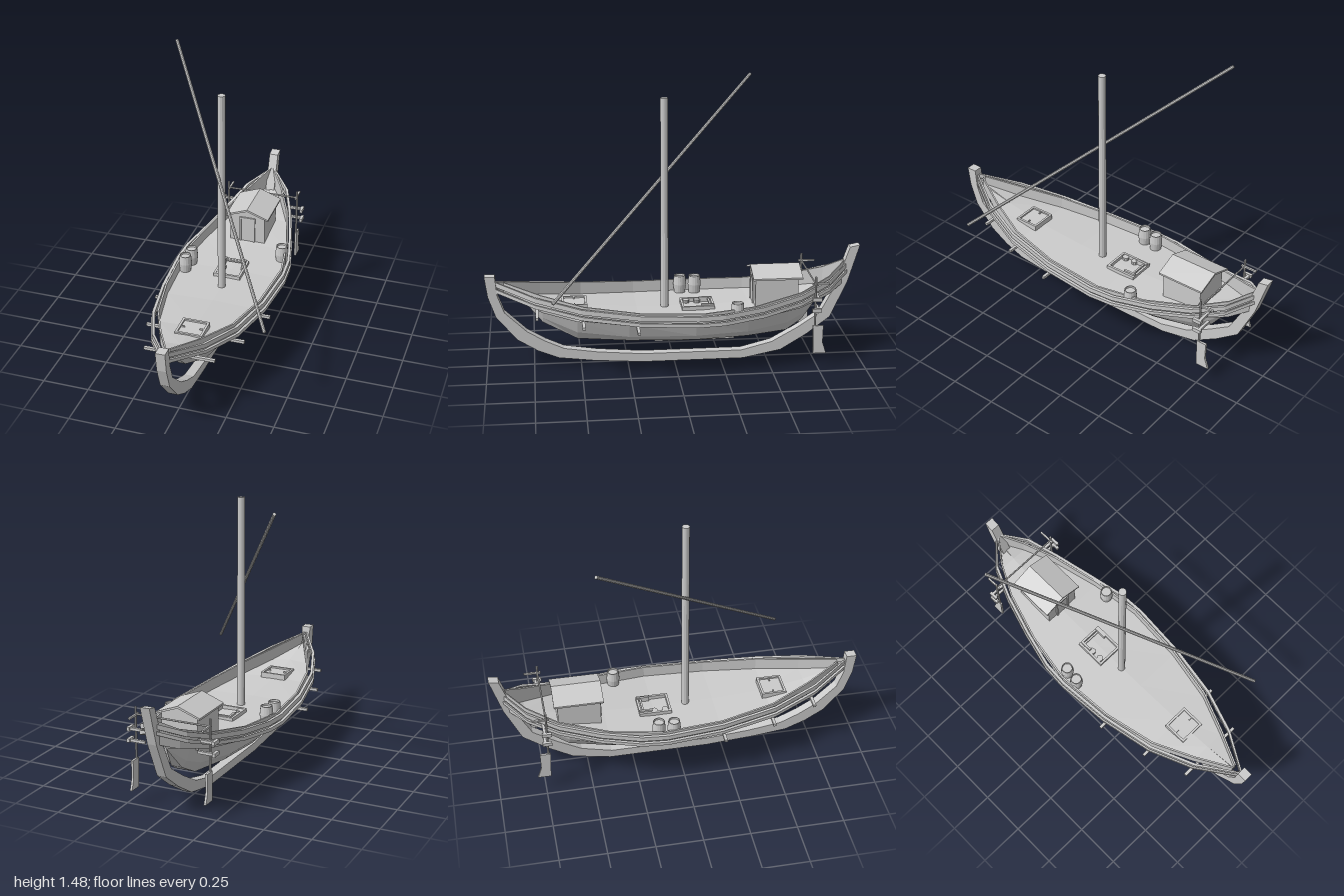
import * as THREE from 'three';

const mat = new THREE.MeshStandardMaterial({ color: 0xcccccc, flatShading: true, side: THREE.DoubleSide });

function add(parent, name, geo, x = 0, y = 0, z = 0) {
  const m = new THREE.Mesh(geo, mat);
  m.name = name;
  m.position.set(x, y, z);
  parent.add(m);
  return m;
}
const box = (p, name, w, h, d, x, y, z) => add(p, name, new THREE.BoxGeometry(w, h, d), x, y, z);

// Skin a list of equal-length cross-sections; closed sections get end caps
function loft(sections, closed = false) {
  const n = sections[0].length, pos = sections.flat(2), idx = [];
  for (let i = 0; i < sections.length - 1; i++) {
    for (let j = 0; j < (closed ? n : n - 1); j++) {
      const k = (j + 1) % n, a = i * n + j, b = i * n + k, c = a + n, d = b + n;
      idx.push(a, b, c, b, d, c);
    }
  }
  if (closed) {
    const e = (sections.length - 1) * n;
    for (let j = 1; j < n - 1; j++) idx.push(0, j + 1, j, e, e + j, e + j + 1);
  }
  const g = new THREE.BufferGeometry();
  g.setAttribute('position', new THREE.Float32BufferAttribute(pos, 3));
  g.setIndex(idx);
  g.computeVertexNormals();
  return g;
}

// Round pole between two points
function pole(parent, name, a, b, r0, r1, sides = 8) {
  const A = new THREE.Vector3(...a), B = new THREE.Vector3(...b), d = B.clone().sub(A);
  const m = add(parent, name, new THREE.CylinderGeometry(r1, r0, d.length(), sides));
  m.position.copy(A).add(B).multiplyScalar(0.5);
  m.quaternion.setFromUnitVectors(new THREE.Vector3(0, 1, 0), d.normalize());
  return m;
}

// Deck outline: z, half width, deck height, bulwark top
const DECK = [
  [0.9, 0.004, 0.42, 0.475], [0.71, 0.1, 0.365, 0.43], [0.49, 0.195, 0.325, 0.392],
  [0.2, 0.255, 0.305, 0.367], [-0.13, 0.278, 0.3, 0.362], [-0.4, 0.235, 0.315, 0.375],
  [-0.66, 0.16, 0.345, 0.418], [-0.82, 0.08, 0.385, 0.475], [-0.92, 0.004, 0.43, 0.54],
];
// Outer rail outline: z, half width, sheer height
const RAIL = [
  [0.945, 0.01, 0.485], [0.74, 0.14, 0.435], [0.5, 0.23, 0.393], [0.2, 0.285, 0.367], [-0.1, 0.308, 0.36],
  [-0.24, 0.3, 0.364], [-0.45, 0.25, 0.38], [-0.66, 0.19, 0.418], [-0.82, 0.127, 0.475], [-0.94, 0.01, 0.54],
];
// Lower hull: z, then half width and height of sheer edge, bilge and floor
const HULL = [
  [0.765, 0.004, 0.335, 0.003, 0.33, 0.002, 0.325], [0.7, 0.05, 0.315, 0.035, 0.28, 0.02, 0.25],
  [0.52, 0.13, 0.287, 0.1, 0.215, 0.06, 0.166], [0.25, 0.185, 0.277, 0.155, 0.2, 0.115, 0.165],
  [-0.1, 0.2, 0.28, 0.175, 0.2, 0.14, 0.165], [-0.38, 0.18, 0.292, 0.15, 0.205, 0.11, 0.165],
  [-0.6, 0.12, 0.315, 0.09, 0.225, 0.055, 0.17], [-0.69, 0.075, 0.33, 0.055, 0.26, 0.03, 0.22],
  [-0.785, 0.004, 0.35, 0.003, 0.345, 0.002, 0.34],
];
// Keel and stem posts: outer z, y, inner z, y
const KEEL = [
  [1, 0.51, 0.945, 0.51], [0.985, 0.4, 0.935, 0.405], [0.945, 0.285, 0.9, 0.31], [0.835, 0.155, 0.785, 0.2],
  [0.73, 0.09, 0.69, 0.143], [0.62, 0.045, 0.59, 0.097], [0.43, 0.022, 0.41, 0.07], [0.17, 0.004, 0.17, 0.05],
  [-0.375, 0.004, -0.365, 0.05], [-0.58, 0.045, -0.53, 0.092], [-0.72, 0.13, -0.67, 0.17],
  [-0.845, 0.225, -0.79, 0.25], [-0.935, 0.42, -0.87, 0.4], [-0.998, 0.625, -0.945, 0.615],
];

function deckAt(z) {
  let i = 0;
  while (i < DECK.length - 2 && DECK[i + 1][0] > z) i++;
  const [a, b] = [DECK[i], DECK[i + 1]];
  return THREE.MathUtils.lerp(a[2], b[2], (a[0] - z) / (a[0] - b[0]));
}

// Raised rectangular hatch frame with a closed lid inside
function hatch(parent, name, w, d, z) {
  const g = new THREE.Group(), y = deckAt(z) + 0.012, t = 0.012;
  g.name = name;
  for (const s of [-1, 1]) {
    box(g, 'coamingSide', t, 0.03, d, s * (w - t) / 2, y, z);
    box(g, 'coamingEnd', w, 0.03, t, 0, y, z + s * (d - t) / 2);
  }
  parent.add(g);
  return g;
}

export function createModel() {
  const boat = new THREE.Group();
  boat.name = 'sailingBoat';

  add(boat, 'keel', loft(KEEL.map(([oz, oy, iz, iy]) =>
    [[-0.025, oy, oz], [0.025, oy, oz], [0.025, iy, iz], [-0.025, iy, iz]]), true));
  add(boat, 'lowerHull', loft(HULL.map(([z, a, ya, b, yb, c, yc]) =>
    [[-a, ya, z], [-b, yb, z], [-c, yc, z], [c, yc, z], [b, yb, z], [a, ya, z]])));
  add(boat, 'deck', loft(DECK.map(([z, x, y]) => [[-x, y, z], [0, y + 0.008, z], [x, y, z]])));

  // Bulwarks, wales and bilge strips on both sides
  for (const s of [-1, 1]) {
    add(boat, 'bulwark', loft(DECK.map(([z, x, y, t]) =>
      [[s * x, y - 0.012, z], [s * (x + 0.008), y - 0.012, z], [s * (x + 0.01), t, z], [s * x, t, z]]), true));
    for (const [name, lo, hi, out] of [['upperWale', -0.034, -0.008, 0], ['lowerWale', -0.064, -0.045, 0.006]]) {
      add(boat, name, loft(RAIL.map(([z, x, y]) => {
        const o = x + out, i = Math.max(o - 0.016, 0);
        return [[s * i, y + lo, z], [s * o, y + lo, z], [s * o, y + hi, z], [s * i, y + hi, z]];
      }), true));
    }
    const strip = add(boat, 'bilgeStrip', new THREE.PlaneGeometry(0.43, 0.036), s * 0.05, 0.148, -0.105);
    strip.rotation.y = s * Math.PI / 2;
  }

  // Through beams under the deck
  for (const [z, half, y] of [[0.21, 0.32, 0.277], [0.49, 0.265, 0.295], [0.73, 0.187, 0.326]])
    box(boat, 'crossBeam', half * 2, 0.015, 0.016, 0, y, z);

  // Mast and slanted yard
  pole(boat, 'mast', [0, 0.285, 0.05], [0, 1.44, 0.05], 0.021, 0.02, 12);
  pole(boat, 'yard', [-0.415, 1.48, -0.46], [0.415, 0.49, 0.65], 0.009, 0.009);

  // Hatches: covered one forward, open one with a ladder amidships
  const fore = hatch(boat, 'foreHatch', 0.145, 0.135, 0.532);
  box(fore, 'lid', 0.125, 0.012, 0.115, 0, deckAt(0.532) + 0.012, 0.532);
  for (const s of [-1, 1]) box(fore, 'handle', 0.02, 0.008, 0.006, s * 0.05, deckAt(0.532) + 0.022, 0.532);
  const main = hatch(boat, 'mainHatch', 0.15, 0.175, -0.125);
  for (const s of [-1, 1]) box(main, 'ladderRail', 0.012, 0.03, 0.07, s * 0.055, 0.32, -0.175);
  box(main, 'ladderRung', 0.11, 0.008, 0.01, 0, 0.325, -0.19);
  for (const z of [-0.13, -0.07])
    add(main, 'storedJar', new THREE.CylinderGeometry(0.018, 0.018, 0.025, 10), -0.05, 0.312, z);

  // Barrels
  const barrel = [[0, 0], [0.03, 0], [0.036, 0.05], [0.031, 0.098], [0.027, 0.098], [0.026, 0.088], [0, 0.088]]
    .map(p => new THREE.Vector2(...p));
  for (const [x, z] of [[-0.243, -0.057], [-0.235, -0.137], [0.234, -0.31]])
    add(boat, 'barrel', new THREE.LatheGeometry(barrel, 16), x, 0.3, z);

  // Cabin with gable walls, pitched roof and front door
  const cabin = new THREE.Group();
  cabin.name = 'cabin';
  boat.add(cabin);
  const prism = (pts, depth) => new THREE.ExtrudeGeometry(
    new THREE.Shape(pts.map(p => new THREE.Vector2(...p))), { depth, bevelEnabled: false });
  add(cabin, 'walls', prism([[-0.1, 0.31], [0.1, 0.31], [0.1, 0.48], [0, 0.518], [-0.1, 0.48]], 0.23), 0, 0, -0.655);
  add(cabin, 'roof', prism([[-0.122, 0.474], [0, 0.518], [0.122, 0.474], [0.122, 0.484], [0, 0.53], [-0.122, 0.484]], 0.265),
    0, 0, -0.675);
  for (const s of [-1, 1]) box(cabin, 'doorPost', 0.01, 0.15, 0.012, s * 0.04, 0.39, -0.422);
  box(cabin, 'doorLintel', 0.09, 0.012, 0.012, 0, 0.468, -0.422);
  box(cabin, 'doorPanel', 0.07, 0.15, 0.006, 0, 0.39, -0.423);

  // Steering oars with brackets, and the bar joining them
  const blade = [[-0.715, 0.245], [-0.772, 0.245], [-0.77, 0.15], [-0.79, 0.09], [-0.72, 0.09], [-0.722, 0.18]];
  for (const s of [-1, 1]) {
    const oar = new THREE.Group();
    oar.name = 'steeringOar';
    boat.add(oar);
    pole(oar, 'shaft', [s * 0.205, 0.2, -0.727], [s * 0.205, 0.515, -0.727], 0.006, 0.006);
    add(oar, 'blade', loft([-0.006, 0.006].map(t => blade.map(([z, y]) => [s * 0.205 + t, y, z])), true));
    box(oar, 'tiller', 0.01, 0.01, 0.09, s * 0.2, 0.475, -0.755);
    for (const y of [0.34, 0.4]) {
      box(oar, 'bracket', 0.09, 0.014, 0.014, s * 0.19, y, -0.74);
      box(oar, 'bracketEnd', 0.016, 0.02, 0.05, s * 0.235, y, -0.73);
    }
  }
  pole(boat, 'oarBar', [-0.2, 0.475, -0.727], [0.2, 0.475, -0.727], 0.005, 0.005, 6);

  return boat;
}
